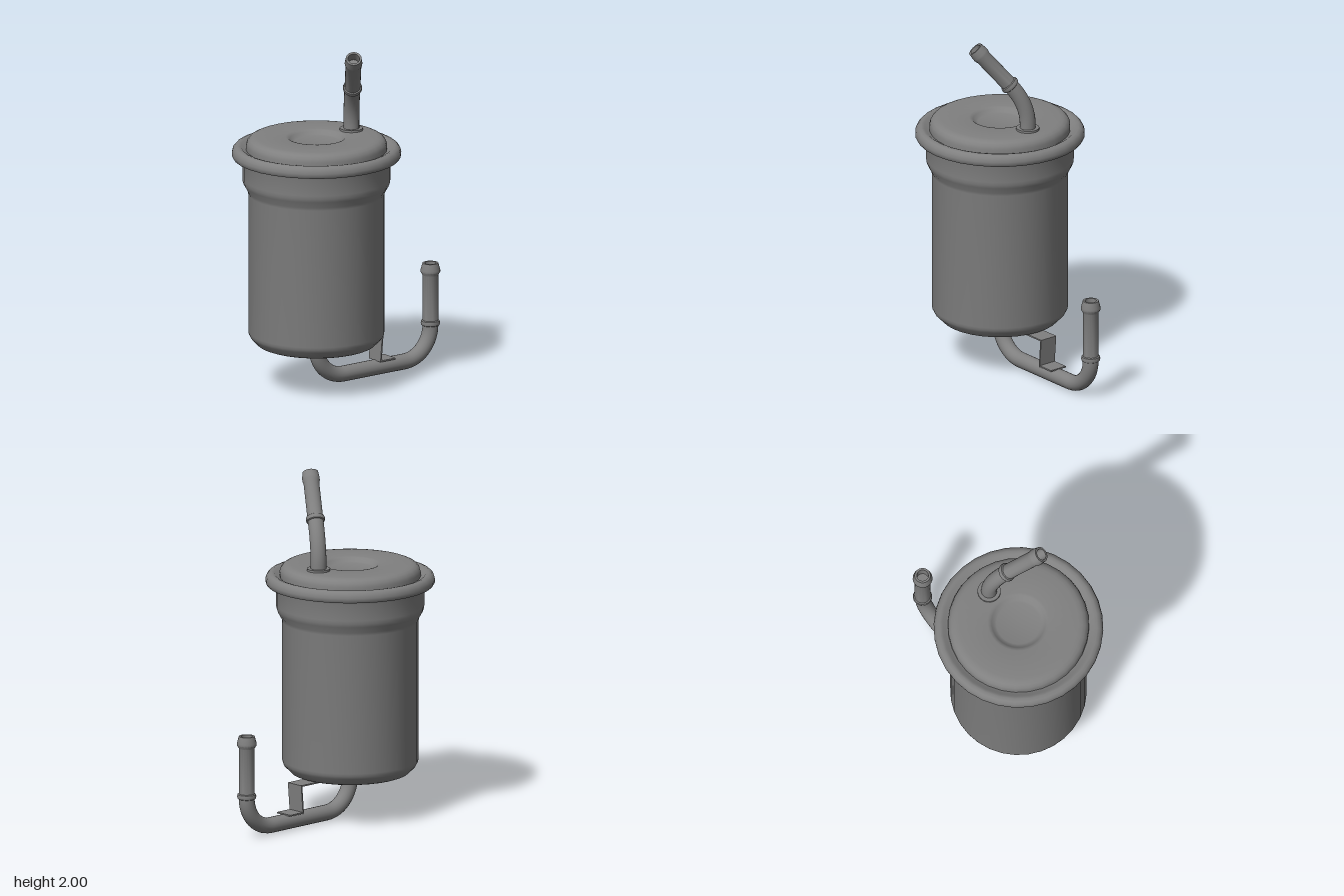
import * as THREE from 'three';
import { toCreasedNormals } from 'three/addons/utils/BufferGeometryUtils.js';

const V = (x, y, z = 0) => new THREE.Vector3(x, y, z);

export function createModel() {
  const model = new THREE.Group();
  model.name = 'fuelFilter';
  const metal = new THREE.MeshStandardMaterial({ color: 0x808080 });
  metal.name = 'grey metal';

  const add = (name, geometry, position = V(0, 0)) => {
    const mesh = new THREE.Mesh(geometry, metal);
    mesh.name = name;
    mesh.position.copy(position);
    model.add(mesh);
    return mesh;
  };
  // Profile of [radius, height] pairs, from bottom to top
  const lathe = (profile, sides) => toCreasedNormals(
    new THREE.LatheGeometry(profile.map(([r, y]) => new THREE.Vector2(r, y)), sides), 0.6);

  const axis = V(-0.195, 0);
  const pipeR = 0.045;

  // Canister with chamfered base and wider neck
  add('canister', lathe([
    [0, 0.256], [0.322, 0.256], [0.337, 0.262], [0.376, 0.302], [0.384, 0.318], [0.387, 0.335],
    [0.387, 1.14], [0.391, 1.158], [0.412, 1.195], [0.419, 1.215], [0.42, 1.235],
    [0.42, 1.33], [0.424, 1.343], [0.436, 1.352],
  ], 32), axis);

  // Rolled seam around the lid
  add('rim', lathe([
    [0.415, 1.352], [0.472, 1.352], [0.48, 1.364], [0.481, 1.38], [0.476, 1.4],
    [0.464, 1.414], [0.447, 1.42], [0.43, 1.416], [0.415, 1.404], [0.398, 1.398],
  ], 32), axis);

  // Domed lid with a shallow round dimple
  add('lid', lathe([
    [0.4, 1.395], [0.4, 1.425], [0.394, 1.445], [0.38, 1.46], [0.362, 1.468], [0.34, 1.471],
    [0.175, 1.471], [0.163, 1.468], [0.152, 1.46], [0.138, 1.447], [0.125, 1.443], [0, 1.443],
  ], 32), axis);

  // Collars where the pipes enter
  add('topCollar', new THREE.CylinderGeometry(0.066, 0.066, 0.014, 20), V(0.052, 1.476));
  add('bottomCollar', new THREE.CylinderGeometry(0.066, 0.066, 0.016, 20), V(-0.195, 0.249));

  // Hollow hose nozzle with a bead at its foot and a barb at its tip
  const nozzle = (name, from, to, barbR) => {
    const L = from.distanceTo(to);
    const mesh = add(name, lathe([
      [pipeR, -0.016], [0.052, -0.012], [0.055, 0], [0.052, 0.012], [pipeR, 0.016],
      [pipeR, L - 0.07], [barbR, L - 0.052], [barbR, L - 0.04], [0.045, L],
      [0.033, L], [0.033, L - 0.06], [0, L - 0.06],
    ], 20), from);
    mesh.quaternion.setFromUnitVectors(V(0, 1), to.clone().sub(from).normalize());
  };

  // Top pipe: rises from the lid, then bends aside
  const topBead = V(-0.004, 1.745, 0.085);
  const topPath = new THREE.CurvePath();
  topPath.add(new THREE.LineCurve3(V(0.052, 1.46), V(0.052, 1.5)));
  topPath.add(new THREE.QuadraticBezierCurve3(V(0.052, 1.5), V(0.052, 1.63), topBead));
  add('topPipe', new THREE.TubeGeometry(topPath, 20, pipeR, 20));
  nozzle('topNozzle', topBead, V(-0.117, 1.97, 0.247), 0.05);

  // Bottom pipe: drops, runs sideways and turns up again
  const R = 0.185, x0 = -0.195, x1 = 0.612, y0 = pipeR + 0.004, k = 0.448 * R;
  const bottomPath = new THREE.CurvePath();
  bottomPath.add(new THREE.LineCurve3(V(x0, 0.26), V(x0, y0 + R)));
  bottomPath.add(new THREE.CubicBezierCurve3(
    V(x0, y0 + R), V(x0, y0 + k), V(x0 + k, y0), V(x0 + R, y0)));
  bottomPath.add(new THREE.LineCurve3(V(x0 + R, y0), V(x1 - R, y0)));
  bottomPath.add(new THREE.CubicBezierCurve3(
    V(x1 - R, y0), V(x1 - k, y0), V(x1, y0 + k), V(x1, y0 + R)));
  bottomPath.add(new THREE.LineCurve3(V(x1, y0 + R), V(x1, 0.25)));
  add('bottomPipe', new THREE.TubeGeometry(bottomPath, 64, pipeR, 20));
  nozzle('bottomNozzle', V(x1, 0.248), V(x1, 0.598), 0.056);

  // Bent sheet bracket between canister and pipe
  const bracket = new THREE.Shape([
    [0.065, 0.248], [0.23, 0.248], [0.217, 0.09], [0.325, 0.09],
    [0.325, 0.098], [0.226, 0.098], [0.239, 0.256], [0.065, 0.256],
  ].map(([x, y]) => new THREE.Vector2(x, y)));
  add('bracket', new THREE.ExtrudeGeometry(bracket, { depth: 0.11, bevelEnabled: false }), V(0, 0, -0.055));

  return model;
}
